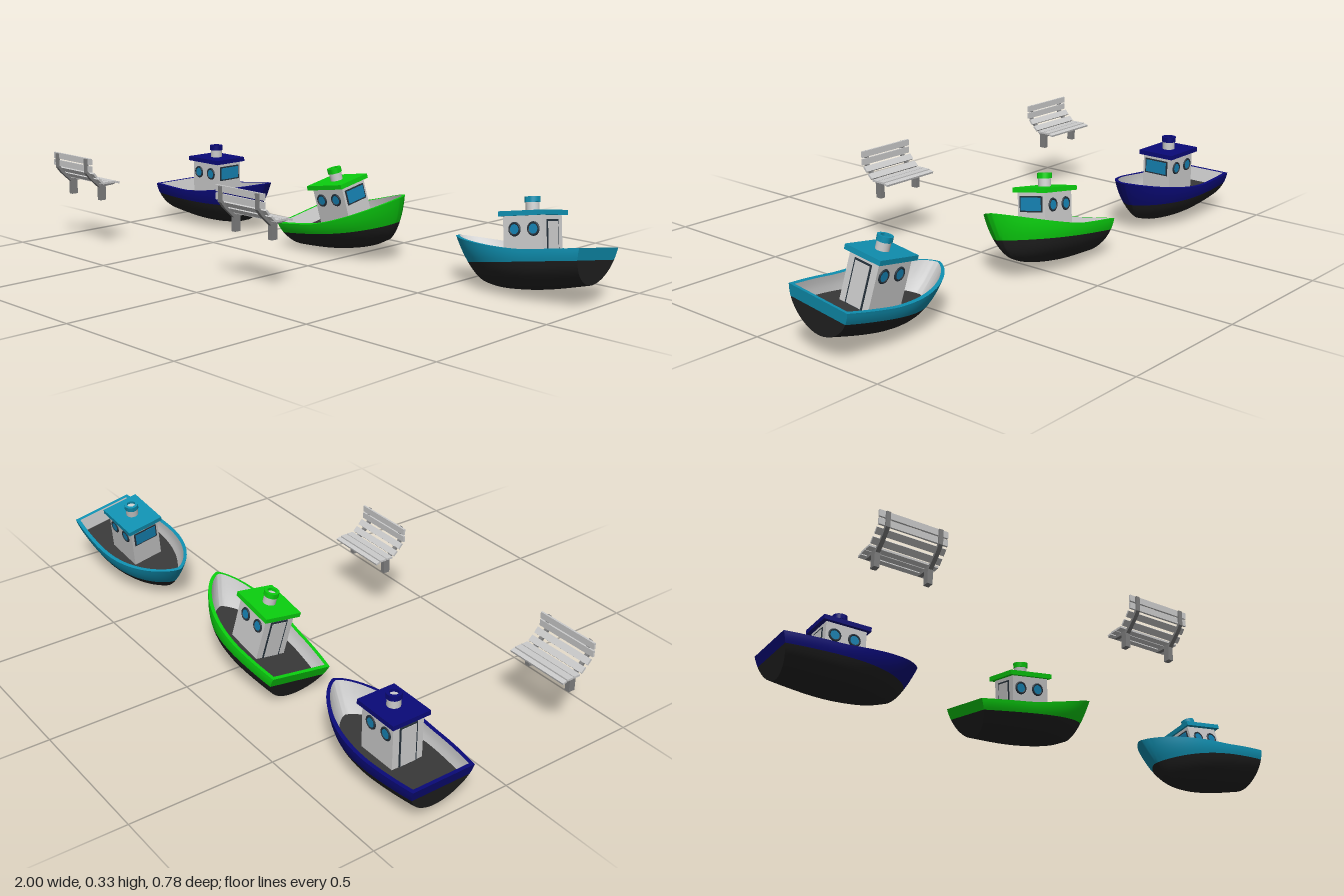
import * as THREE from 'three';
import { toCreasedNormals } from 'three/addons/utils/BufferGeometryUtils.js';
import { ParametricGeometry } from 'three/addons/geometries/ParametricGeometry.js';

const mat = (color) => new THREE.MeshStandardMaterial({ color, side: THREE.DoubleSide });
const grey = mat(0xcccccc), black = mat(0x222222), deckGrey = mat(0x383838);
const iron = mat(0x808080), glass = mat(0x1683b4), frame = mat(0x26323c);

const WATERLINE = 0.11, DECK = 0.1;
const lerp = THREE.MathUtils.lerp;

function add(parent, name, geometry, material, x = 0, y = 0, z = 0) {
  const mesh = new THREE.Mesh(geometry, material);
  mesh.name = name;
  mesh.position.set(x, y, z);
  parent.add(mesh);
  return mesh;
}

// Underside of the hull: flat keel rising towards the bow
const keel = new THREE.SplineCurve([[-0.23, 0.032], [-0.1, 0.021], [0, 0.02], [0.09, 0.028], [0.15, 0.045]]
  .map(([x, y]) => new THREE.Vector2(x, y)));

// One station round the hull; p runs from the transom middle round the bow and back
function station(p) {
  const t = Math.abs(2 * p - 1);
  const u = t < 0.9 ? Math.sin((Math.PI / 2) * (1 - t / 0.9)) : 0;
  const across = t > 0.9 ? (1 - t) / 0.1 : 1;
  const x = -0.265 + 0.53 * u, d = x + 0.035;
  const width = d > 0
    ? 0.136 * Math.pow(Math.max(0, 1 - Math.pow(d / 0.3, 2.2)), 0.7)
    : 0.136 - 0.021 * (d / 0.23) ** 2;
  const rise = THREE.MathUtils.clamp((x + 0.08) / 0.345, 0, 1);
  return { u, x, z: width * across * (p < 0.5 ? -1 : 1), top: 0.148 + 0.053 * Math.pow(rise, 1.4), k: keel.getPoint(u) };
}

// Point on the hull skin at a height, on a rounded section
function skin(s, y, out) {
  const v = THREE.MathUtils.clamp((y - s.k.y) / (s.top - s.k.y), 0, 1);
  const f = Math.pow(1 - (1 - v) ** 2, 0.55);
  return out.set(lerp(s.k.x, s.x, Math.pow(v, 1 - 0.4 * s.u)), y, s.z * f);
}

// Closed band round the boat
function band(rows, rule) {
  const g = new ParametricGeometry((p, b, out) => rule(station(p), b, out), 80, rows);
  g.deleteAttribute('uv');
  g.deleteAttribute('normal');
  return toCreasedNormals(g, 0.7);
}

// Inner face of the bulwark
const inner = (s, y, out) => {
  skin(s, y, out);
  out.x *= 0.95;
  out.z *= 0.9;
  return out;
};

const bottomGeo = band(10, (s, b, o) => skin(s, lerp(s.k.y, WATERLINE, b * b), o));
const sideGeo = band(5, (s, b, o) => skin(s, lerp(WATERLINE, s.top, b), o));
const rimGeo = band(1, (s, b, o) => {
  skin(s, s.top, o);
  o.x *= lerp(1, 0.95, b);
  o.z *= lerp(1, 0.9, b);
});
const bulwarkGeo = band(3, (s, b, o) => inner(s, lerp(s.top, DECK, b), o));
const deckGeo = band(1, (s, b, o) => { inner(s, DECK, o).z *= 1 - b; });

function createCabin(paint) {
  const cabin = new THREE.Group();
  cabin.name = 'cabin';
  add(cabin, 'cabinWalls', new THREE.BoxGeometry(0.145, 0.16, 0.114), grey, -0.028, 0.178, 0);
  add(cabin, 'roof', new THREE.BoxGeometry(0.17, 0.016, 0.14), paint, -0.03, 0.262, 0);

  // Portholes, two on each side
  for (const side of [-1, 1]) for (const x of [-0.068, 0.002]) {
    add(cabin, 'portholeRing', new THREE.TorusGeometry(0.019, 0.004, 8, 24), frame, x, 0.212, side * 0.057);
    add(cabin, 'portholeGlass', new THREE.CylinderGeometry(0.018, 0.018, 0.004, 24).rotateX(Math.PI / 2), glass, x, 0.212, side * 0.057);
  }

  // Windscreen forward, door aft
  add(cabin, 'windscreenFrame', new THREE.BoxGeometry(0.005, 0.054, 0.094), frame, 0.045, 0.215, 0);
  add(cabin, 'windscreen', new THREE.BoxGeometry(0.007, 0.044, 0.084), glass, 0.0455, 0.215, 0);
  add(cabin, 'doorFrame', new THREE.BoxGeometry(0.005, 0.14, 0.066), frame, -0.101, 0.171, 0);
  add(cabin, 'door', new THREE.BoxGeometry(0.007, 0.132, 0.056), grey, -0.1015, 0.169, 0);

  // Funnel with a hollow coloured top
  add(cabin, 'funnel', new THREE.CylinderGeometry(0.022, 0.022, 0.04, 24), grey, -0.03, 0.285, 0);
  const collar = [[0.015, 0.3], [0.015, 0.315], [0.025, 0.315], [0.025, 0.297], [0.02, 0.297]]
    .map(([r, y]) => new THREE.Vector2(r, y));
  add(cabin, 'funnelCollar', toCreasedNormals(new THREE.LatheGeometry(collar, 24), 0.7), paint, -0.03);
  return cabin;
}

function createBoat(name, color, position, yaw, pitch, roll) {
  const boat = new THREE.Group(), paint = mat(color);
  boat.name = name;
  add(boat, 'hullBottom', bottomGeo, black);
  add(boat, 'hullSides', sideGeo, paint);
  add(boat, 'rim', rimGeo, paint);
  add(boat, 'bulwark', bulwarkGeo, grey);
  add(boat, 'deck', deckGeo, deckGrey);
  boat.add(createCabin(paint));
  boat.position.set(...position);
  const rad = THREE.MathUtils.degToRad;
  boat.rotation.set(rad(roll), rad(yaw), rad(pitch), 'YZX');
  return boat;
}

function createBench(x) {
  const bench = new THREE.Group();
  bench.name = 'bench';
  bench.position.x = x;

  // Side brackets, drawn in z and y
  const outline = [[0.26, 0.236], [0.275, 0.241], [0.331, 0.239], [0.366, 0.272], [0.38, 0.29], [0.38, 0.338],
    [0.39, 0.338], [0.39, 0.286], [0.372, 0.264], [0.333, 0.228], [0.275, 0.232]]
    .map(([z, y]) => new THREE.Vector2(z, y));
  for (const side of [-1, 1]) {
    const bracket = new THREE.ExtrudeGeometry(new THREE.Shape(outline), { depth: 0.014, bevelEnabled: false });
    bracket.translate(0, 0, -0.007).rotateY(-Math.PI / 2);
    add(bench, 'bracket', bracket, iron, side * 0.088);
    add(bench, 'leg', new THREE.BoxGeometry(0.018, 0.056, 0.024), iron, side * 0.088, 0.208, 0.32);
  }

  // Slats: z, y, width and tilt
  for (const [z, y, w, tilt] of [[0.266, 0.241, 0.016, -0.25], [0.289, 0.245, 0.025, 0], [0.317, 0.245, 0.025, 0],
    [0.343, 0.256, 0.022, -0.78], [0.365, 0.278, 0.022, -0.85], [0.38, 0.302, 0.022, -1.57], [0.38, 0.329, 0.022, -1.57]]) {
    add(bench, 'slat', new THREE.BoxGeometry(0.23, 0.007, w), grey, 0, y, z).rotation.x = tilt;
  }
  return bench;
}

export function createModel() {
  const model = new THREE.Group();
  model.name = 'boatsAndBenches';
  model.add(
    createBoat('blueBoat', 0x0a0a78, [-0.735, 0, -0.25], 0, 0, 0),
    createBoat('greenBoat', 0x0bd00f, [-0.003, 0.014, -0.264], 0, 9, 10),
    createBoat('tealBoat', 0x0f8fb0, [0.762, 0.006, -0.225], 184, -10, 9.5),
    createBench(-0.832),
    createBench(0.078),
  );
  return model;
}
